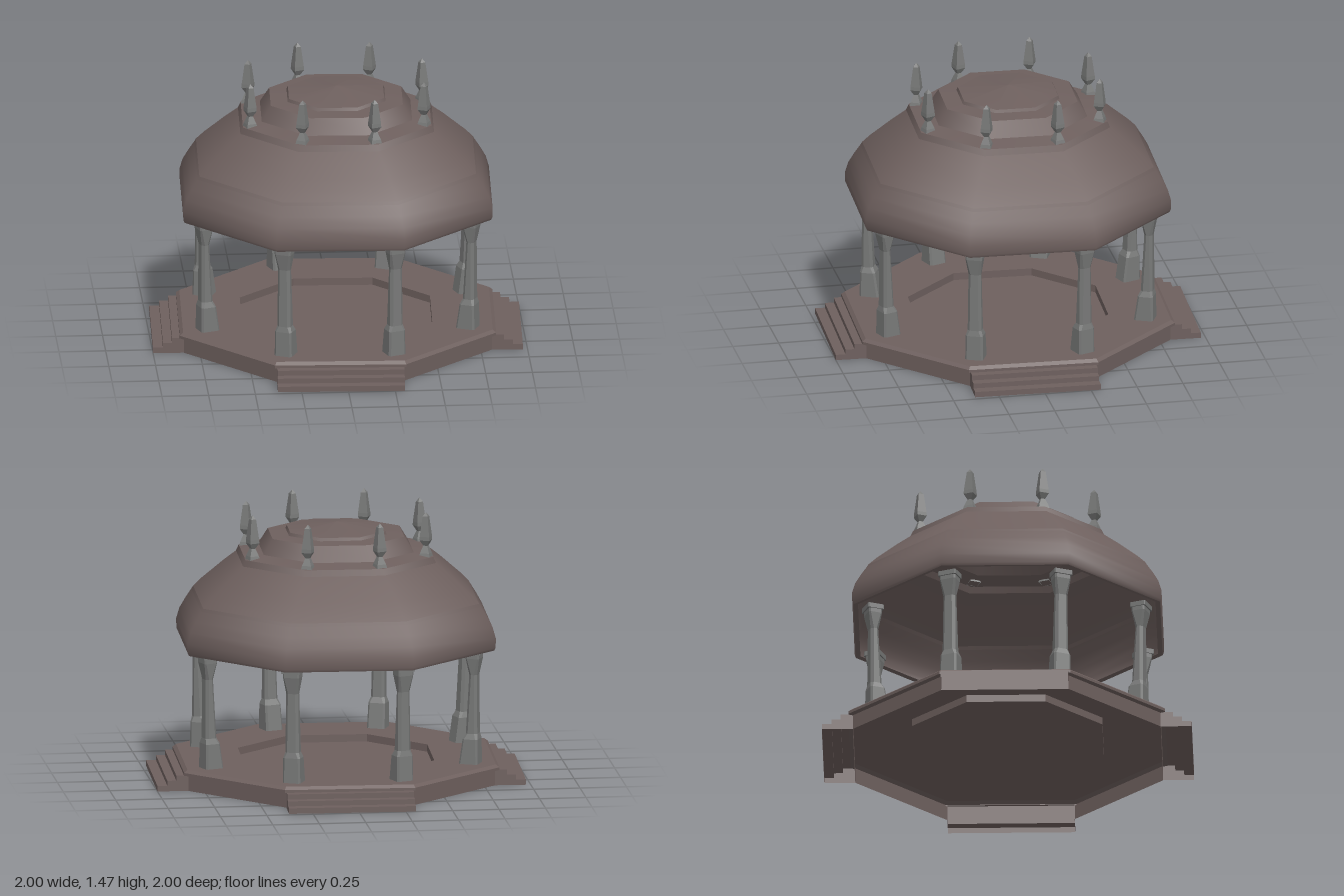
import * as THREE from 'three';
import { mergeGeometries } from 'three/addons/utils/BufferGeometryUtils.js';

const SIDES = 8;
const both = { side: THREE.DoubleSide };
const brownSmooth = new THREE.MeshStandardMaterial({ color: 0x6e605e, ...both });
const brownFlat = new THREE.MeshStandardMaterial({ color: 0x6e605e, flatShading: true, ...both });
const stone = new THREE.MeshStandardMaterial({ color: 0x787978, flatShading: true, ...both });

function mesh(name, geometry, material) {
  const m = new THREE.Mesh(geometry, material);
  m.name = name;
  return m;
}

// Octagonal surface of revolution with its corners at 22.5 degrees
function octagon(points) {
  const profile = points.map(([r, y]) => new THREE.Vector2(r, y));
  return new THREE.LatheGeometry(profile, SIDES, Math.PI / 8);
}

// Skin over successive rings of points
function loft(rings, closed) {
  const pos = [];
  const n = rings[0].length;
  for (let i = 0; i < rings.length - 1; i++) {
    for (let j = 0; j < (closed ? n : n - 1); j++) {
      const k = (j + 1) % n;
      const a = rings[i][j], b = rings[i][k], c = rings[i + 1][k], d = rings[i + 1][j];
      pos.push(...a, ...d, ...c, ...a, ...c, ...b);
    }
  }
  const g = new THREE.BufferGeometry();
  g.setAttribute('position', new THREE.Float32BufferAttribute(pos, 3));
  g.computeVertexNormals();
  return g;
}

// Chamfered rectangle at height y, from inner to outer radius, half width t
function columnRing([y, inner, outer, t, c]) {
  return [
    [outer, y, t - c], [outer, y, c - t], [outer - c, y, -t], [inner + c, y, -t],
    [inner, y, c - t], [inner, y, t - c], [inner + c, y, t], [outer - c, y, t],
  ].reverse();
}

// Steps running out along +x, open underneath
function stairsGeometry() {
  const half = 0.34, inner = 0.82;
  const line = [[0.988, 0], [0.988, 0.03], [0.935, 0.03], [0.935, 0.057],
    [0.887, 0.057], [0.887, 0.085], [inner, 0.085]];
  const treads = loft([half, -half].map(z => line.map(([x, y]) => [x, y, z])), false);
  const side = new THREE.Shape([...line, [inner, 0]].map(([x, y]) => new THREE.Vector2(x, y)));
  const ends = [half, -half].map(z => {
    const g = new THREE.ShapeGeometry(side).toNonIndexed();
    g.deleteAttribute('uv');
    return g.translate(0, 0, z);
  });
  return mergeGeometries([treads, ...ends]);
}

export function createModel() {
  const model = new THREE.Group();
  model.name = 'pavilion';

  // Platform shell with a sunken centre floor
  model.add(mesh('platform', octagon([
    [0.89, 0], [0.89, 0.08], [0.915, 0.085], [0.915, 0.1], [0.895, 0.115],
    [0.55, 0.115], [0.55, 0.075], [0, 0.075],
  ]), brownFlat));

  // Four flights of steps
  const stairs = stairsGeometry();
  for (let i = 0; i < 4; i++) {
    const m = mesh('stairs', stairs, brownFlat);
    m.rotation.y = i * Math.PI / 2;
    model.add(m);
  }

  // Hollow roof in bands, each smooth in itself with sharp joints between them
  const roof = new THREE.Group();
  roof.name = 'roof';
  const bands = {
    rim: [[0.86, 0.74], [0.886, 0.735]],
    lowerDome: [[0.886, 0.735], [0.893, 0.75], [0.895, 0.8], [0.877, 0.86], [0.845, 0.915], [0.81, 0.968]],
    domeLedge: [[0.81, 0.968], [0.8, 0.985]],
    upperDome: [[0.8, 0.985], [0.755, 1.03], [0.7, 1.077], [0.63, 1.137], [0.56, 1.192]],
    collar: [[0.56, 1.192], [0.545, 1.225]],
    collarTop: [[0.545, 1.225], [0.435, 1.243]],
    tier: [[0.435, 1.243], [0.382, 1.325]],
    tierTop: [[0.382, 1.325], [0.283, 1.332]],
    crownEdge: [[0.283, 1.332], [0.275, 1.348]],
    crown: [[0.275, 1.348], [0, 1.385]],
  };
  for (const [name, points] of Object.entries(bands)) {
    roof.add(mesh(name, octagon(points), brownSmooth));
  }
  model.add(roof);

  // Columns and finials stand at the eight corners
  const columnGeo = loft([
    [0.115, 0.7, 0.805, 0.049, 0.01], [0.25, 0.72, 0.803, 0.047, 0.01],
    [0.28, 0.734, 0.798, 0.038, 0.014], [0.6, 0.752, 0.796, 0.034, 0.014],
    [0.69, 0.737, 0.812, 0.045, 0.008], [0.712, 0.737, 0.812, 0.045, 0.008],
    [0.712, 0.73, 0.82, 0.051, 0.005], [0.738, 0.73, 0.82, 0.051, 0.005],
  ].map(columnRing), true);
  const finialGeo = new THREE.LatheGeometry([
    [0.042, 1.225], [0.036, 1.245], [0.016, 1.285], [0.038, 1.315],
    [0.037, 1.335], [0.02, 1.445], [0, 1.466],
  ].map(([r, y]) => new THREE.Vector2(r, y)), 4, Math.PI / 4);
  finialGeo.translate(0.503, 0, 0);
  for (let i = 0; i < SIDES; i++) {
    const angle = Math.PI / 8 + i * Math.PI / 4;
    for (const m of [mesh('column', columnGeo, stone), mesh('finial', finialGeo, stone)]) {
      m.rotation.y = angle;
      model.add(m);
    }
  }

  // The whole pavilion is turned slightly
  model.rotation.y = -0.038;
  const root = new THREE.Group();
  root.add(model);
  return root;
}
